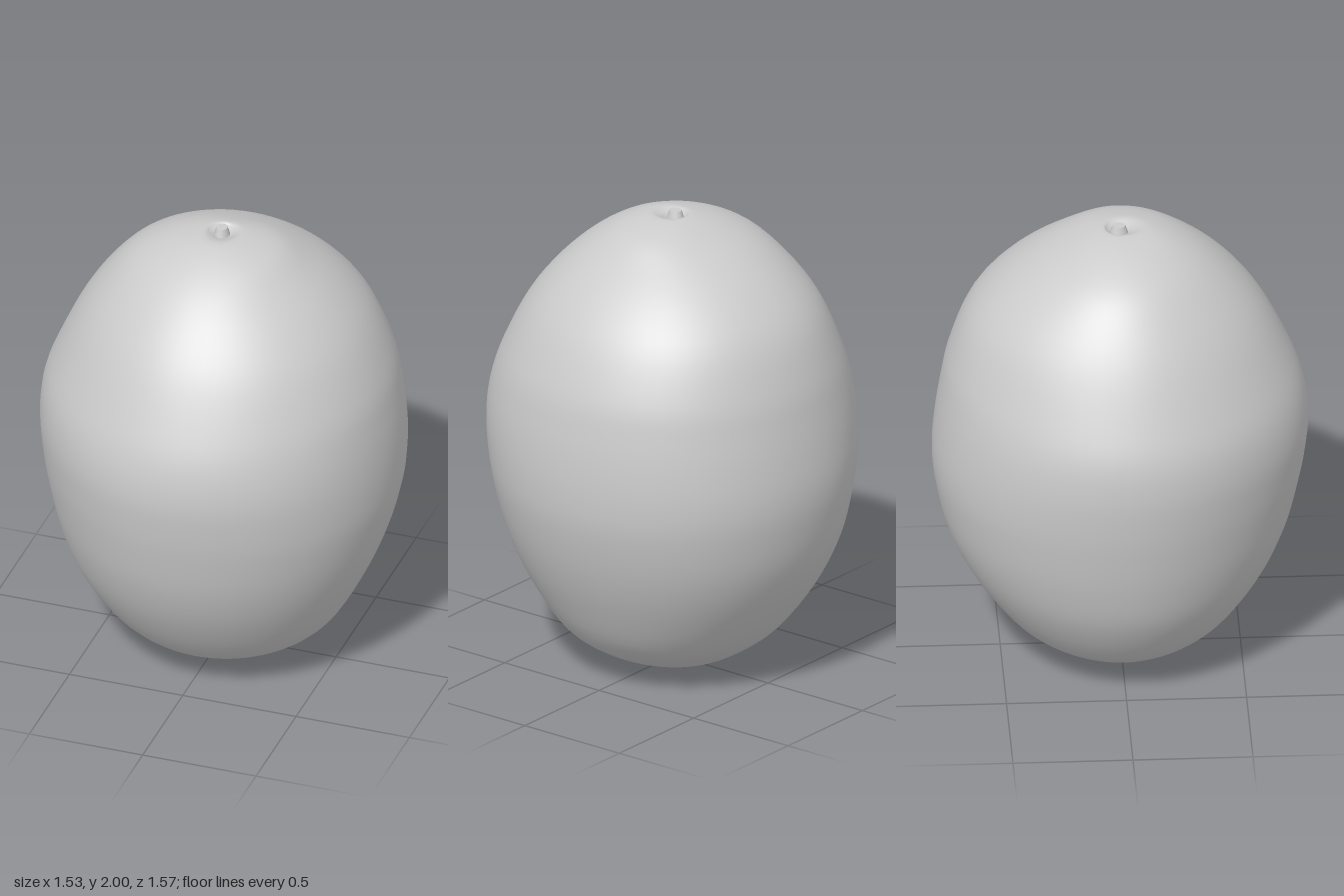
import * as THREE from 'three';

// Height, then the radius towards +x, +z, -x and -z at that height
const SECTIONS = [
  [0.018, 0, 0, 0, 0],
  [0.014, 0.04, 0.04, 0.04, 0.04],
  [0.004, 0.09, 0.08, 0.08, 0.10],
  [0.03, 0.18, 0.18, 0.2, 0.2],
  [0.085, 0.325, 0.31, 0.325, 0.32],
  [0.2, 0.485, 0.46, 0.485, 0.47],
  [0.4, 0.605, 0.60, 0.62, 0.62],
  [0.6, 0.69, 0.69, 0.69, 0.72],
  [0.8, 0.745, 0.743, 0.733, 0.77],
  [0.95, 0.762, 0.77, 0.755, 0.784],
  [1.1, 0.76, 0.783, 0.765, 0.773],
  [1.25, 0.743, 0.763, 0.75, 0.75],
  [1.4, 0.71, 0.707, 0.695, 0.718],
  [1.6, 0.62, 0.605, 0.60, 0.64],
  [1.75, 0.50, 0.49, 0.50, 0.515],
  [1.87, 0.36, 0.36, 0.385, 0.355],
  [1.95, 0.245, 0.23, 0.235, 0.19],
  [1.987, 0.10, 0.12, 0.09, 0.08],
  [1.978, 0.055, 0.055, 0.055, 0.055],
  [1.965, 0.03, 0.03, 0.03, 0.03],
  [1.965, 0, 0, 0, 0],
];

// Bulge of the skin between neighbouring profiles: +x+z, -x+z, -x-z, +x-z
const CORNERS = [0.006, -0.022, -0.01, 0.015];

// Skin lofted through rings whose radius blends between the four side profiles
function fruitGeometry(rings = 80, sides = 64) {
  const profiles = [1, 2, 3, 4].map((k) => new THREE.CatmullRomCurve3(
    SECTIONS.map((s) => new THREE.Vector3(s[k], s[0], 0)), false, 'catmullrom', 0.5));
  const positions = [], indices = [];
  for (let i = 0; i <= rings; i++) {
    const [px, pz, nx, nz] = profiles.map((p) => p.getPoint(i / rings));
    for (let j = 0; j < sides; j++) {
      const a = (j / sides) * Math.PI * 2, c = Math.cos(a), s = Math.sin(a);
      const rx = (c > 0 ? px : nx).x, rz = (s > 0 ? pz : nz).x;
      const corner = 1 + Math.sin(2 * a) ** 2 * CORNERS[Math.floor((4 * j) / sides)];
      const r = Math.max(0, (c * c * rx + s * s * rz) * corner);
      positions.push(c * r, Math.max(0, px.y), s * r);
      if (i < rings) {
        const p = i * sides + j, q = i * sides + ((j + 1) % sides);
        indices.push(p, p + sides, q, q, p + sides, q + sides);
      }
    }
  }
  const geometry = new THREE.BufferGeometry();
  geometry.setAttribute('position', new THREE.Float32BufferAttribute(positions, 3));
  geometry.setIndex(indices);
  geometry.computeVertexNormals();
  return geometry;
}

export function createModel() {
  const model = new THREE.Group();
  model.name = 'fruit';
  const material = new THREE.MeshStandardMaterial({ color: 0xcccccc });

  const body = new THREE.Mesh(fruitGeometry(), material);
  body.name = 'fruitBody';
  model.add(body);

  // Short tapered stem stub sitting in the top dimple
  const stem = new THREE.Mesh(new THREE.CylinderGeometry(0.024, 0.037, 0.045, 16), material);
  stem.name = 'stem';
  stem.position.set(-0.006, 1.9775, -0.006);
  stem.scale.z = 1.15;
  model.add(stem);

  return model;
}
